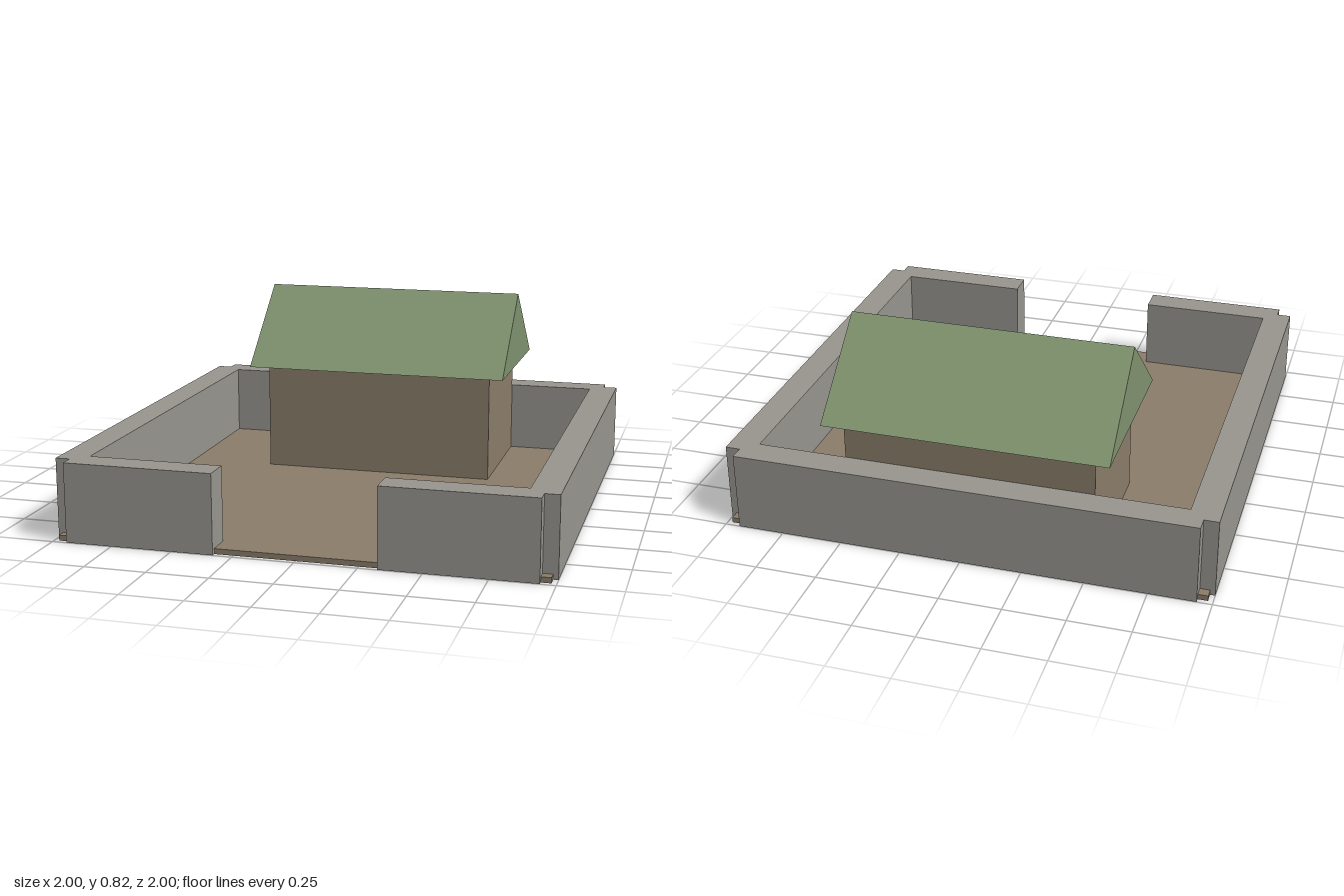
import * as THREE from 'three';

const material = (name, color) => Object.assign(new THREE.MeshStandardMaterial({ color }), { name });

export function createModel() {
  const stone = material('stone', 0x999690);
  const earth = material('earth', 0x8b7d6b);
  const roofGreen = material('roofGreen', 0x80936f);
  const model = new THREE.Group();
  model.name = 'walledHouse';

  // Box given by its extents along each axis
  const box = (name, mat, [x0, x1], [y0, y1], [z0, z1]) => {
    const mesh = new THREE.Mesh(new THREE.BoxGeometry(x1 - x0, y1 - y0, z1 - z0), mat);
    mesh.position.set((x0 + x1) / 2, (y0 + y1) / 2, (z0 + z1) / 2);
    mesh.name = name;
    model.add(mesh);
  };

  // Courtyard floor
  box('courtyardFloor', earth, [-0.98, 0.98], [0, 0.022], [-0.98, 0.98]);

  // Enclosing walls, notched at the corners, with a gateway in front
  const wallY = [0.001, 0.327];
  box('backWall', stone, [-0.94, 0.94], wallY, [-1, -0.88]);
  box('leftWall', stone, [0.88, 1], wallY, [-0.94, 0.94]);
  box('rightWall', stone, [-1, -0.88], wallY, [-0.94, 0.94]);
  box('frontWallLeft', stone, [0.327, 0.94], wallY, [0.88, 1]);
  box('frontWallRight', stone, [-0.94, -0.327], wallY, [0.88, 1]);

  // House body
  box('houseBody', earth, [-0.51, 0.51], [0.02, 0.492], [-0.877, -0.265]);

  // Gabled roof: a triangle extruded along x
  const gable = new THREE.Shape([
    new THREE.Vector2(-0.373, 0),
    new THREE.Vector2(0.373, 0),
    new THREE.Vector2(0, 0.326),
  ]);
  const roofGeometry = new THREE.ExtrudeGeometry(gable, { depth: 1.16, bevelEnabled: false });
  roofGeometry.translate(0, 0, -0.58).rotateY(Math.PI / 2);
  const roof = new THREE.Mesh(roofGeometry, roofGreen);
  roof.position.set(0, 0.491, -0.571);
  roof.name = 'roof';
  model.add(roof);

  return model;
}
